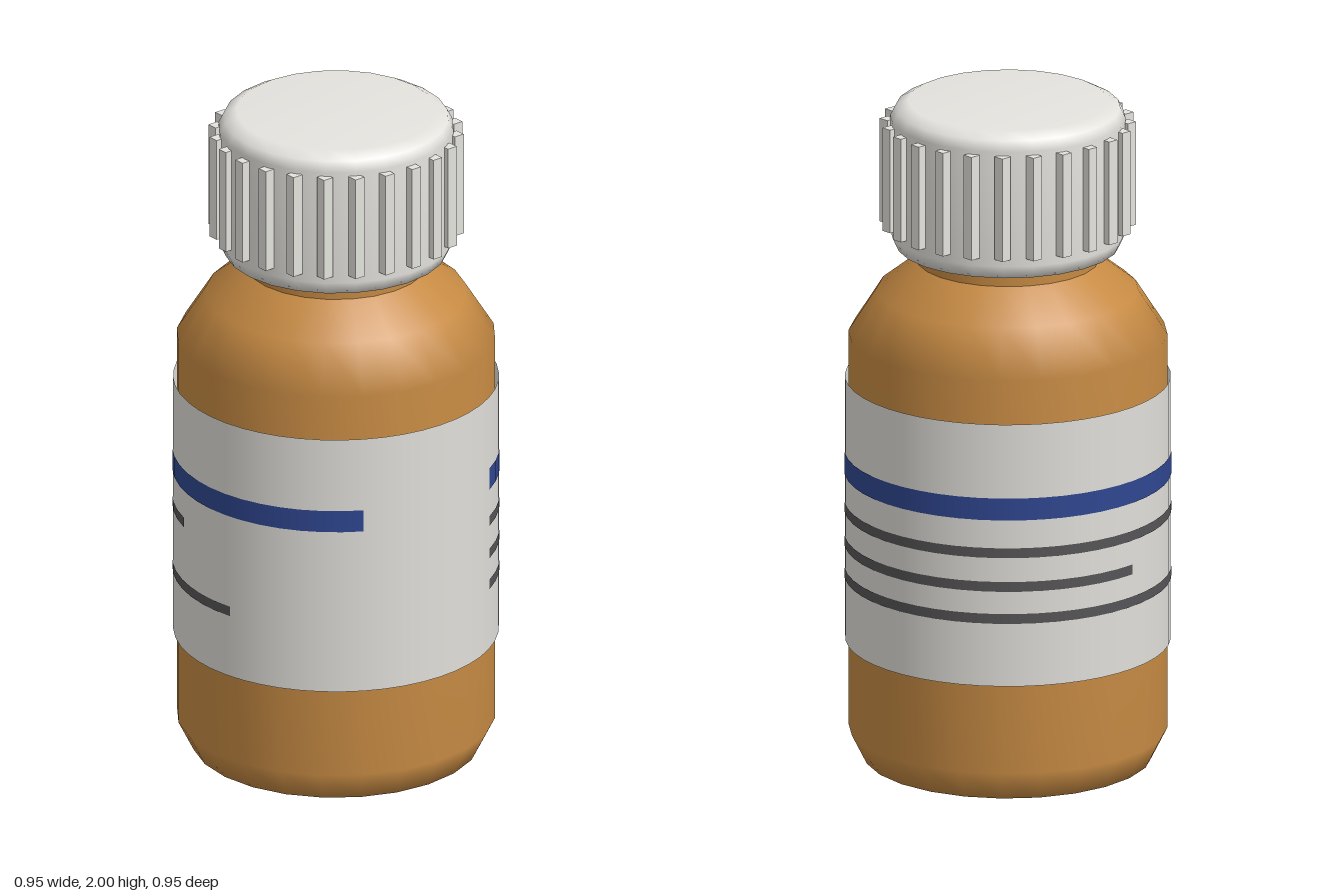
import * as THREE from 'three';

const material = (name, color, side = THREE.FrontSide) => {
  const m = new THREE.MeshStandardMaterial({ color, side });
  m.name = name;
  return m;
};

export function createModel() {
  const amber = material('amber', 0xc68a43);
  const white = material('cap white', 0xe4e3de);
  const paper = material('label paper', 0xe0ded9, THREE.DoubleSide);
  const blue = material('blue print', 0x2f4690);
  const grey = material('grey print', 0x555557);

  const model = new THREE.Group();
  model.name = 'bottle';
  const add = (name, geometry, mat, parent = model) => {
    const mesh = new THREE.Mesh(geometry, mat);
    mesh.name = name;
    parent.add(mesh);
    return mesh;
  };
  const lathe = (points) =>
    new THREE.LatheGeometry(points.map(([r, y]) => new THREE.Vector2(r, y)), 24);

  // Bottle with a recessed base, chamfered foot, sloping shoulder and neck
  add('body', lathe([
    [0, 0.06], [0.2, 0.05], [0.27, 0], [0.42, 0], [0.465, 0.09],
    [0.465, 1.29], [0.38, 1.425], [0.266, 1.515],
  ]), amber);
  add('neck', lathe([[0.266, 1.515], [0.266, 1.6]]), amber);

  // Cap with softened rims
  const cap = new THREE.Group();
  cap.name = 'cap';
  model.add(cap);
  add('capShell', lathe([
    [0, 1.56], [0.325, 1.56], [0.343, 1.6], [0.343, 1.95],
    [0.328, 1.98], [0.29, 2], [0, 2],
  ]), white, cap);

  // Square grip ribs around the cap
  const ribGeometry = new THREE.BoxGeometry(0.033, 0.315, 0.033);
  for (let i = 0; i < 24; i++) {
    const a = (i / 24) * Math.PI * 2;
    add('gripRib', ribGeometry, white, cap)
      .position.set(Math.sin(a) * 0.35, 1.782, Math.cos(a) * 0.35);
  }

  // Wrapped label with printed bands, angles in degrees from the front
  const band = (radius, bottom, top, from, to) => new THREE.CylinderGeometry(
    radius, radius, top - bottom, Math.ceil((to - from) / 7.5), 1, true,
    THREE.MathUtils.degToRad(from), THREE.MathUtils.degToRad(to - from),
  ).translate(0, (top + bottom) / 2, 0);

  add('label', band(0.474, 0.36, 1.16, 0, 360), paper);
  add('titleBand', band(0.4765, 0.868, 0.935, 120, 420), blue);
  [[0.768, 342], [0.665, 277], [0.567, 370]].forEach(([y, end]) =>
    add('textLine', band(0.4765, y - 0.015, y + 0.015, 120, end), grey));

  return model;
}
